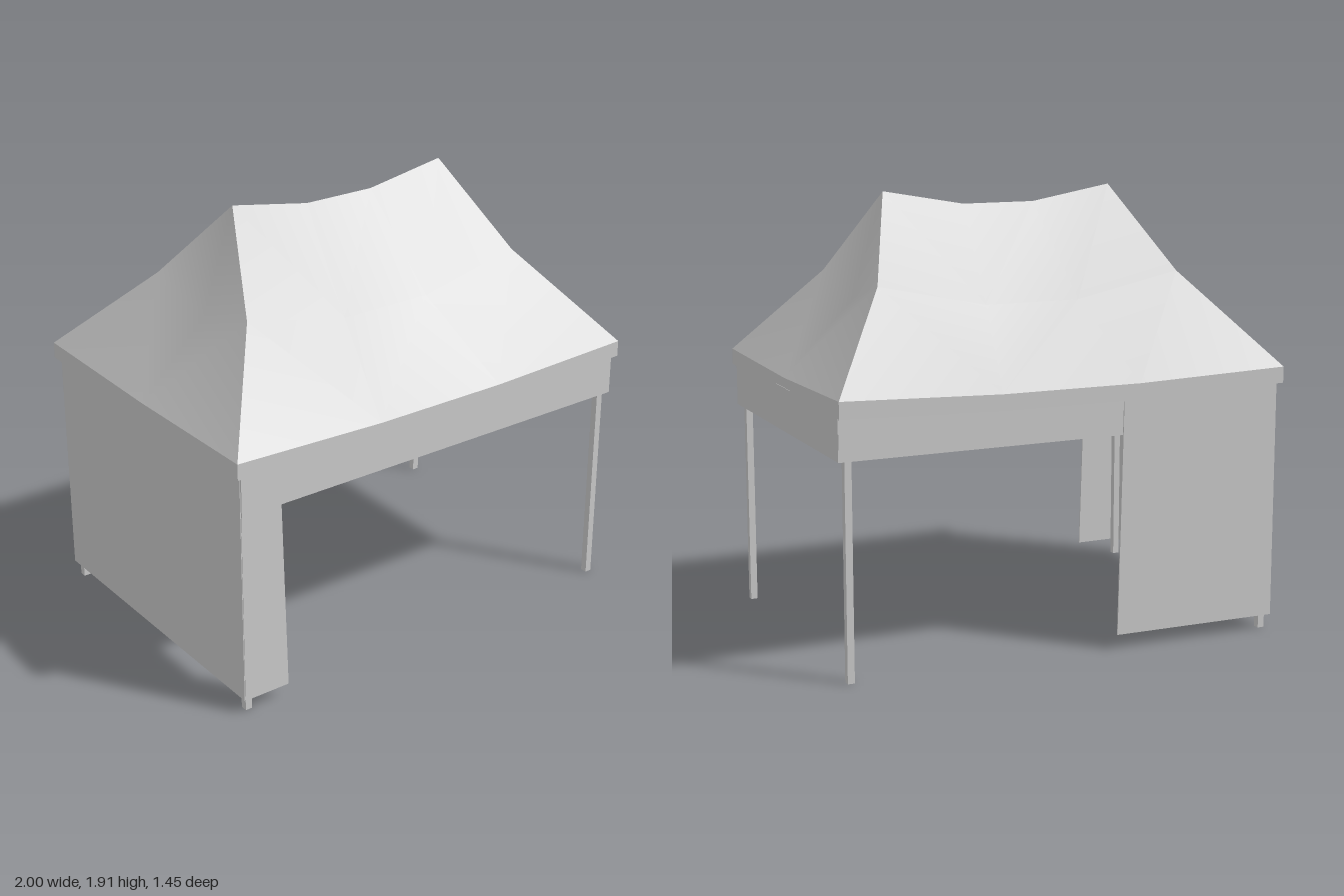
import * as THREE from 'three';

const material = new THREE.MeshStandardMaterial({ color: 0xcccccc, side: THREE.DoubleSide });
const V = (x, y, z) => new THREE.Vector3(x, y, z);

// Points from a to b at the given fractions; the inner ones are shifted by the sag vector
function sagLine(a, b, knots, sag) {
  return [a, ...knots.map((t) => a.clone().lerp(b, t).add(sag)), b];
}

// Smooth cloth surface through rows of points, listed bottom to top, with mirrored diagonals
function cloth(name, rows) {
  const n = rows[0].length;
  const index = [];
  for (let i = 0; i < rows.length - 1; i++) {
    for (let j = 0; j < n - 1; j++) {
      const a = i * n + j, b = a + 1, c = b + n, d = a + n;
      if (2 * j < n - 2) index.push(a, b, d, b, c, d);
      else index.push(a, b, c, a, c, d);
    }
  }
  const geometry = new THREE.BufferGeometry().setFromPoints(rows.flat());
  geometry.setIndex(index);
  geometry.computeVertexNormals();
  const mesh = new THREE.Mesh(geometry, material);
  mesh.name = name;
  return mesh;
}

// Thin upright sheet from p to q (x, z); flare lengthens its bottom edge
function sheet(name, p, q, bottom, top, flare = 0) {
  const dx = q[0] - p[0], dz = q[1] - p[1];
  const length = Math.hypot(dx, dz);
  const shape = new THREE.Shape([
    new THREE.Vector2(0, bottom), new THREE.Vector2(length + flare, bottom),
    new THREE.Vector2(length, top), new THREE.Vector2(0, top),
  ]);
  const geometry = new THREE.ExtrudeGeometry(shape, { depth: 0.006, bevelEnabled: false });
  geometry.translate(0, 0, -0.003);
  const mesh = new THREE.Mesh(geometry, material);
  mesh.name = name;
  mesh.position.set(p[0], 0, p[1]);
  mesh.rotation.y = Math.atan2(-dz, dx);
  return mesh;
}

export function createModel() {
  const tent = new THREE.Group();
  tent.name = 'canopyTent';

  // Key points, counterclockwise from the front at -x
  const eaves = [V(-1, 1.163, 0.72), V(1, 1.163, 0.72), V(1, 1.163, -0.685), V(-1, 1.163, -0.73)];
  const hips = [V(-0.695, 1.548, 0.345), V(0.69, 1.548, 0.345), V(0.69, 1.548, -0.31), V(-0.695, 1.548, -0.33)];
  const peakA = V(-0.535, 1.907, 0.012), peakB = V(0.535, 1.907, 0.018);
  const peaks = [peakA, peakB, peakB, peakA];
  const sides = ['front', 'left', 'back', 'right'];
  const bow = [V(0, 0, 0.003), V(-0.012, 0, 0), V(0, 0, -0.006), V(0.012, 0, 0)];

  // Sagging roof panels and the short valance hanging from the eaves
  sides.forEach((side, i) => {
    const k = (i + 1) % 4;
    const long = i % 2 === 0;
    const knots = long ? [0.345, 0.655] : [0.5];
    const eaveRow = sagLine(eaves[i], eaves[k], knots, V(0, -0.021, 0).add(bow[i]));
    tent.add(cloth(side + 'RoofPanel', [
      eaveRow,
      sagLine(hips[i], hips[k], knots, V(0, long ? -0.1 : -0.09, 0).add(bow[i])),
      sagLine(peaks[i], peaks[k], knots, V(0, long ? -0.065 : 0, 0)),
    ]));
    const hemRow = eaveRow.map((p) => V(p.x, p.y - 0.07, p.z));
    tent.add(cloth(side + 'Valance', [hemRow, eaveRow]));
  });

  // Banner strips below the eaves on the three open sides
  tent.add(sheet('frontBanner', [-0.97, 0.693], [0.987, 0.693], 0.912, 1.1));
  tent.add(sheet('leftBanner', [0.987, 0.693], [0.987, -0.64], 0.912, 1.1));
  tent.add(sheet('backBanner', [0.987, -0.64], [-0.97, -0.64], 0.912, 1.1));

  // Full-height side wall with short returns at the front and back
  const wallFront = [-0.97, 0.689], wallBack = [-0.97, -0.72];
  tent.add(sheet('sideWall', wallBack, wallFront, 0.063, 1.1));
  tent.add(sheet('frontWallReturn', wallFront, [-0.785, 0.689], 0.063, 1.1, 0.028));
  tent.add(sheet('backWallReturn', wallBack, [-0.245, -0.699], 0.063, 1.1, 0.02));

  // Square legs
  const legs = [[-0.941, 0.655], [0.949, 0.662], [0.949, -0.622], [-0.941, -0.683]];
  for (const [x, z] of legs) {
    const leg = new THREE.Mesh(new THREE.BoxGeometry(0.03, 1.13, 0.03), material);
    leg.name = 'leg';
    leg.position.set(x, 0.565, z);
    tent.add(leg);
  }
  return tent;
}
